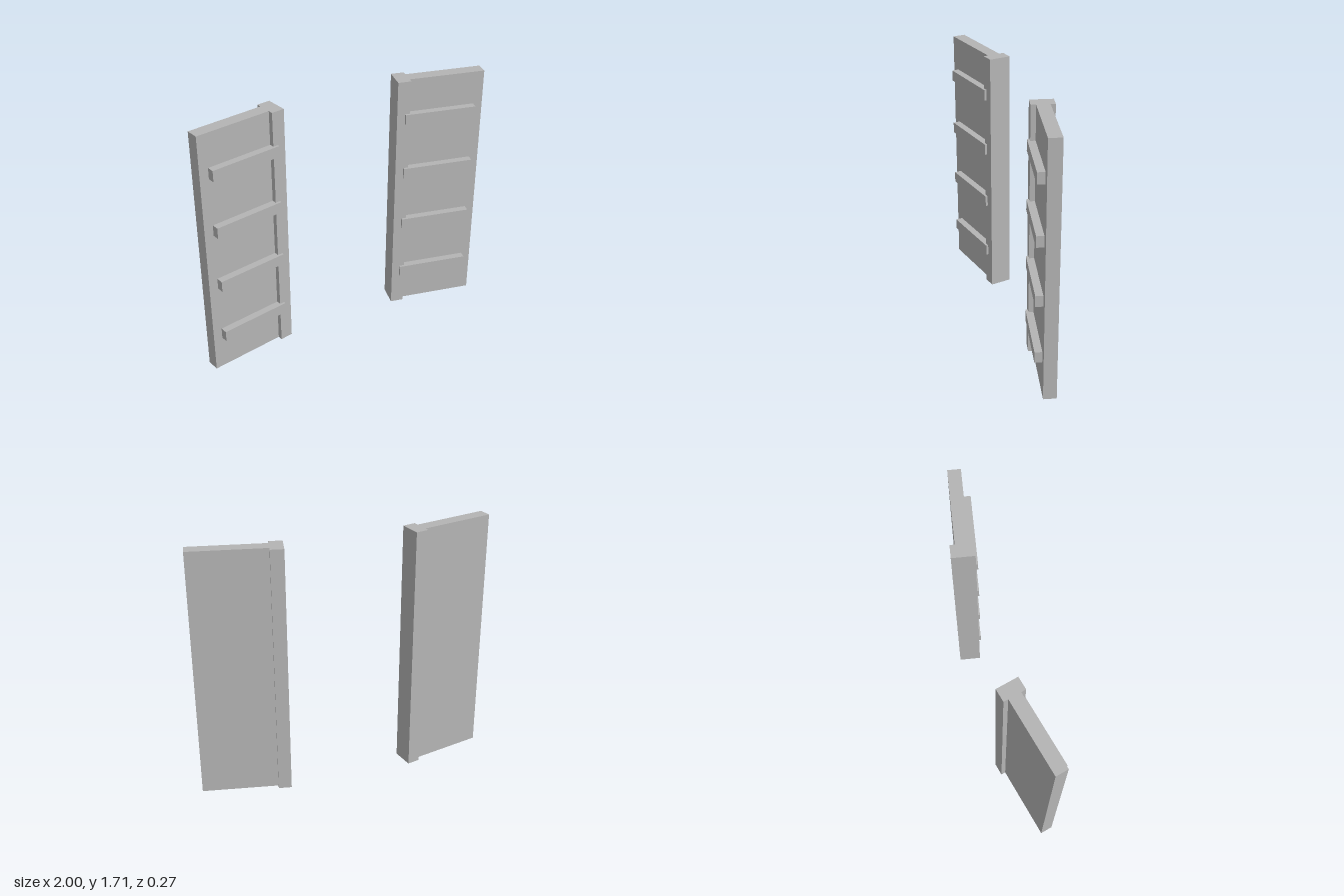
import * as THREE from 'three';

const HEIGHT = 1.708;
const ANGLE = THREE.MathUtils.degToRad(12);

export function createModel() {
  const model = new THREE.Group();
  model.name = 'angledPanelPair';
  const grey = new THREE.MeshStandardMaterial({ color: 0xb4b4b4 });
  grey.name = 'plain grey';

  // One leaf; its origin is the outer back corner of the panel, side is +1 or -1
  function buildLeaf(side, label) {
    const leaf = new THREE.Group();
    leaf.name = label;
    leaf.position.set(side, 0, 0.02);
    leaf.rotation.y = -side * ANGLE;

    // Box between local limits: along the panel, height, and thickness
    const addBox = (name, u0, u1, y0, y1, n0, n1) => {
      const mesh = new THREE.Mesh(new THREE.BoxGeometry(u1 - u0, y1 - y0, n1 - n0), grey);
      mesh.name = name;
      mesh.position.set(side * (u0 + u1) / 2, (y0 + y1) / 2, (n0 + n1) / 2);
      leaf.add(mesh);
    };

    // Flat panel and the thicker post on its inner edge
    addBox('panel', -0.507, 0, 0, HEIGHT, 0, 0.084);
    addBox('innerPost', -0.594, -0.507, 0, HEIGHT, -0.031, 0.116);

    // Four horizontal battens on the front, lapping over the post
    for (let i = 0; i < 4; i++) {
      const y = 0.265 + i * 0.394;
      addBox('batten' + (i + 1), -0.54, -0.062, y - 0.037, y + 0.037, 0.075, 0.132);
    }
    return leaf;
  }

  model.add(buildLeaf(1, 'leftLeaf'), buildLeaf(-1, 'rightLeaf'));
  return model;
}
